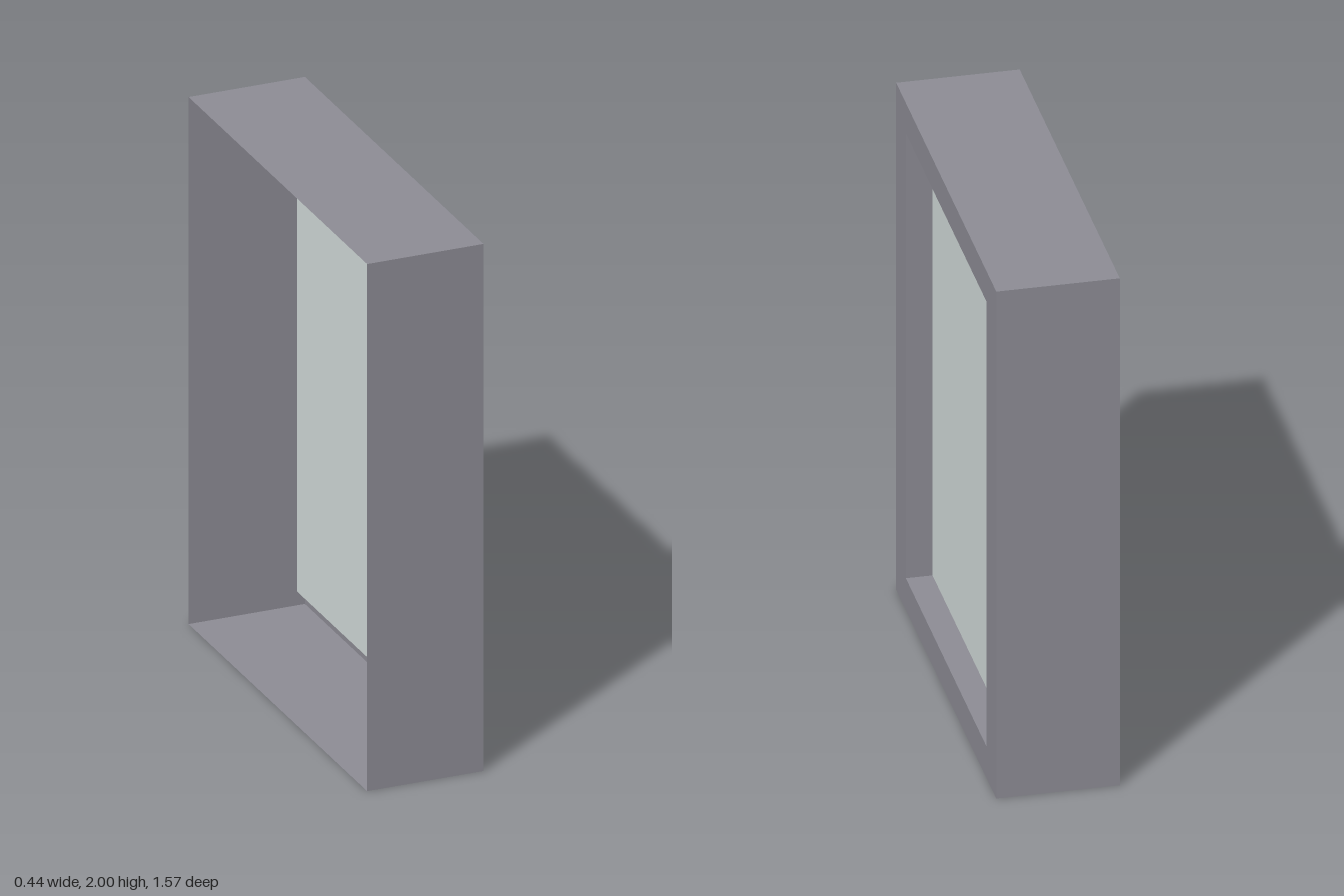
import * as THREE from 'three';

const HALF_DEPTH = 0.22, PANE_DEPTH = 0.125;
// Counter-clockwise rectangles: outer casing and window opening
const rect = (w, y0, y1) => [[-w, y0], [w, y0], [w, y1], [-w, y1]].map(p => new THREE.Vector2(...p));
const outer = rect(0.785, 0, 2);
const opening = rect(0.633, 0.125, 1.88);

// Thin open sleeve following a closed loop from z0 to z1
function sleeve(loop, z0, z1) {
  const pos = [];
  loop.forEach((a, i) => {
    const b = loop[(i + 1) % loop.length];
    pos.push(a.x, a.y, z0, b.x, b.y, z0, b.x, b.y, z1);
    pos.push(a.x, a.y, z0, b.x, b.y, z1, a.x, a.y, z1);
  });
  const g = new THREE.BufferGeometry();
  g.setAttribute('position', new THREE.Float32BufferAttribute(pos, 3));
  g.computeVertexNormals();
  return g;
}

export function createModel() {
  const frameMat = new THREE.MeshStandardMaterial({ color: 0x8e8d96, side: THREE.DoubleSide });
  const paneMat = new THREE.MeshStandardMaterial({ color: 0xd3dcda, side: THREE.DoubleSide });
  const model = new THREE.Group();
  model.name = 'window';
  const add = (name, geometry, material) => {
    geometry.rotateY(Math.PI / 2); // the window looks toward +x
    const mesh = new THREE.Mesh(geometry, material);
    mesh.name = name;
    model.add(mesh);
  };

  // Outer walls, open at the rear
  add('casing', sleeve(outer, -HALF_DEPTH, HALF_DEPTH), frameMat);

  // Flat border around the opening
  const border = new THREE.Shape(outer);
  border.holes.push(new THREE.Path(opening));
  add('frameFace', new THREE.ShapeGeometry(border).translate(0, 0, HALF_DEPTH), frameMat);

  // Recess from the border back to the pane, facing inward
  add('reveal', sleeve([...opening].reverse(), PANE_DEPTH, HALF_DEPTH), frameMat);

  // Glass
  add('pane', new THREE.ShapeGeometry(new THREE.Shape(opening)).translate(0, 0, PANE_DEPTH), paneMat);

  return model;
}
